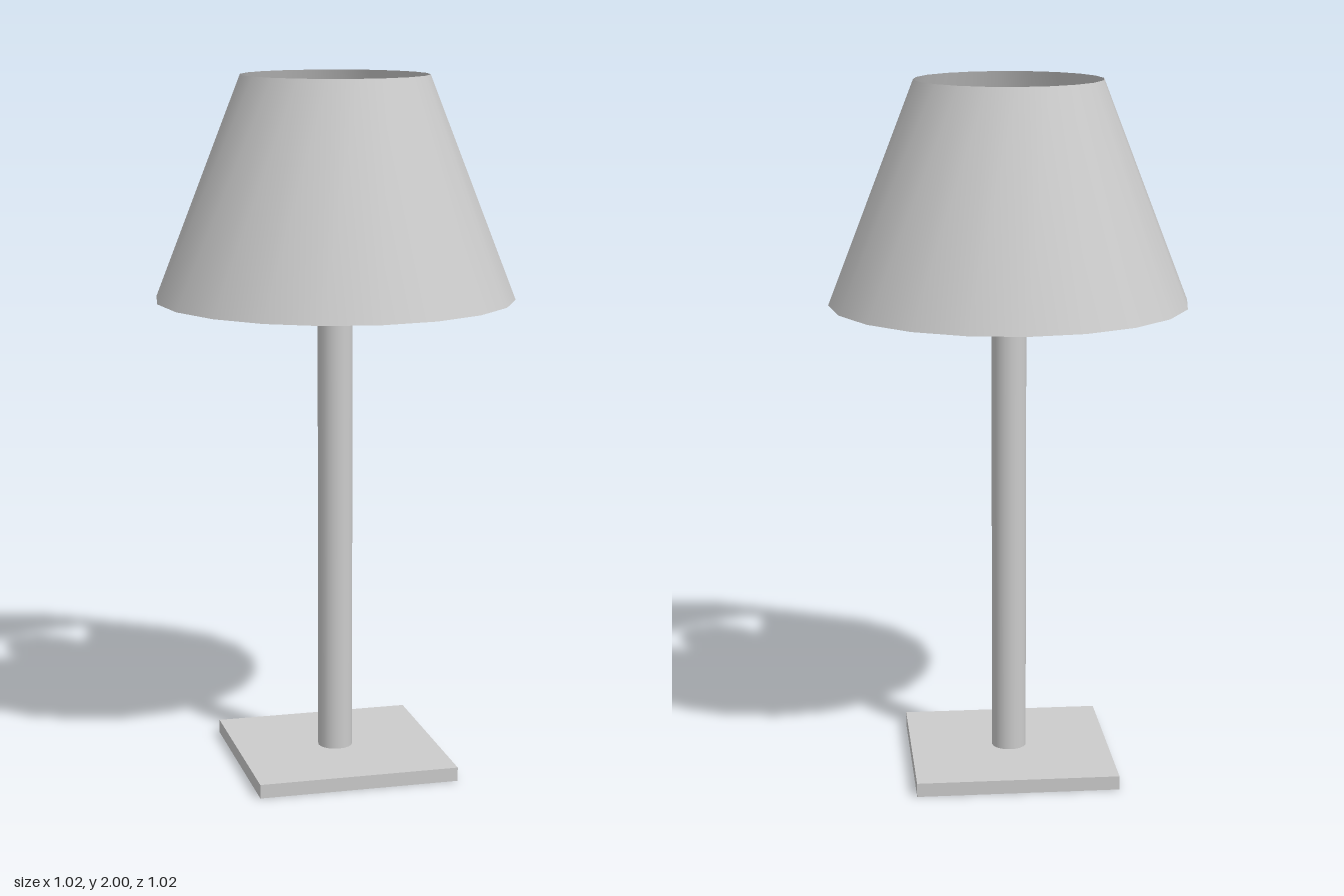
import * as THREE from 'three';

const SIDES = 20;

export function createModel() {
  const lamp = new THREE.Group();
  lamp.name = 'tableLamp';
  const grey = new THREE.MeshStandardMaterial({ color: 0xcccccc });
  const thin = new THREE.MeshStandardMaterial({ color: 0xcccccc, side: THREE.DoubleSide });

  const add = (name, geometry, y, material = grey) => {
    const mesh = new THREE.Mesh(geometry, material);
    mesh.name = name;
    mesh.position.y = y;
    lamp.add(mesh);
  };
  // Upright round part between two heights
  const round = (name, rTop, rBottom, y0, y1, open = false) =>
    add(name, new THREE.CylinderGeometry(rTop, rBottom, y1 - y0, SIDES, 1, open),
      (y0 + y1) / 2, open ? thin : grey);

  // Square foot and stem
  add('base', new THREE.BoxGeometry(0.58, 0.04, 0.58), 0.02);
  round('stem', 0.05, 0.05, 0.04, 1.48);

  // Bulb holder: a tube with a wider collar near its lower end
  round('bulbHolder', 0.13, 0.13, 1.475, 1.75);
  round('collar', 0.156, 0.156, 1.49, 1.56);

  // Domed bulb top
  add('bulb', new THREE.SphereGeometry(0.13, SIDES, 10, 0, Math.PI * 2, 0, Math.PI / 2), 1.75);

  // Open conical shade
  round('shade', 0.267, 0.512, 1.37, 2, true);

  return lamp;
}
